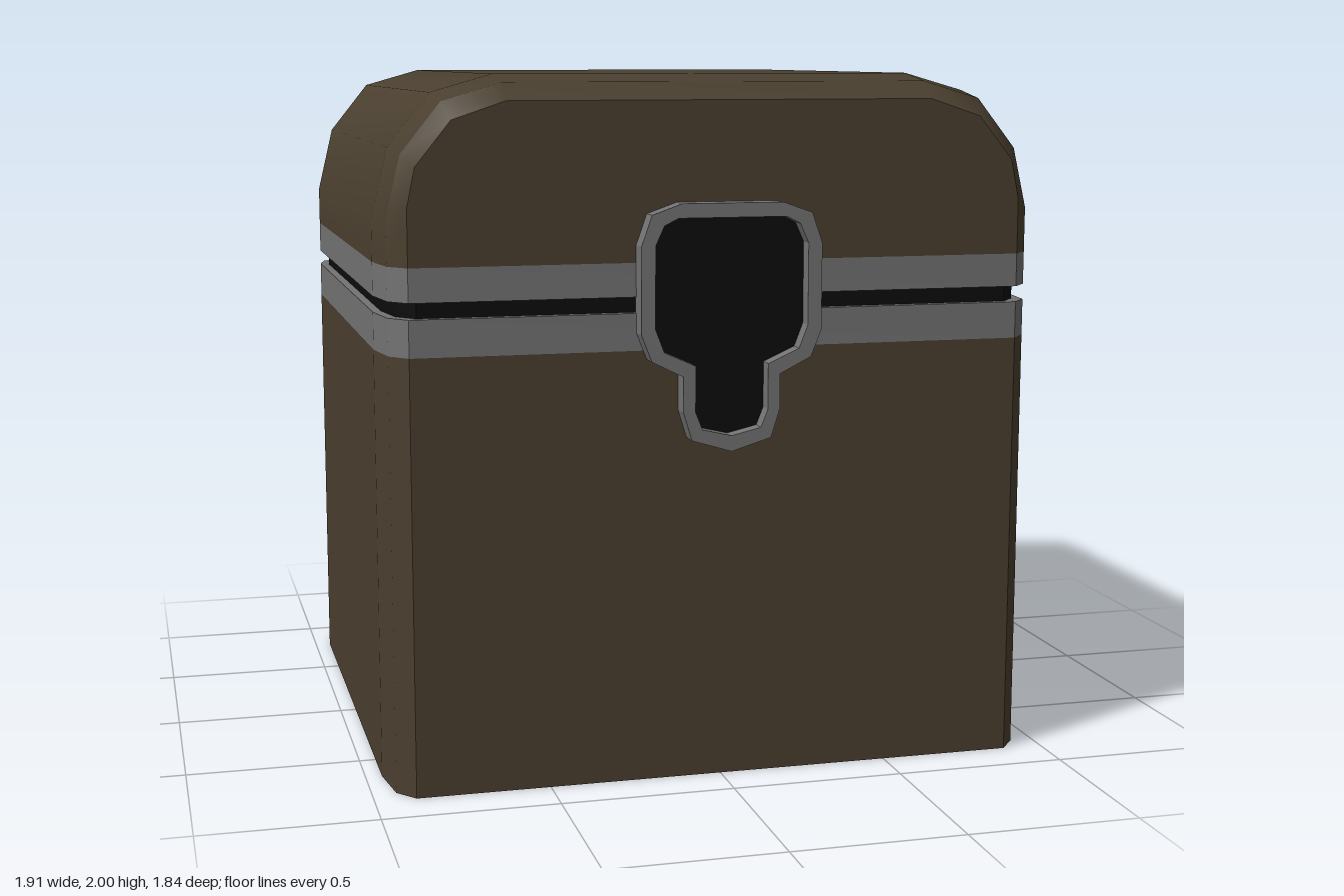
import * as THREE from 'three';
import { mergeGeometries } from 'three/addons/utils/BufferGeometryUtils.js';

const mat = (color) => new THREE.MeshStandardMaterial({ color });
const wood = mat(0x4a3f2f), metal = mat(0x737373), dark = mat(0x0c0c0c);

// Depth sections from front to back: [z, how far the outline is pulled in (0..1)]
const sections = [[0.86, 1], [0.8, 0.3], [0.65, 0], [-0.78, 0], [-0.88, 0.3], [-0.92, 1]];
const HALF = 0.953, INSET = 0.07;

function addMesh(parent, name, geometry, material) {
  const mesh = new THREE.Mesh(geometry, material);
  mesh.name = name;
  parent.add(mesh);
  return mesh;
}

// Closed shape from the +x half of an outline, mirrored to -x
function mirroredShape(half) {
  const pts = half.map(([x, y]) => new THREE.Vector2(x, y));
  const other = half.filter(([x]) => x > 0).reverse().map(([x, y]) => new THREE.Vector2(-x, y));
  return new THREE.Shape([...pts, ...other]);
}

// Horizontal slab with the chamfered plan of the chest, from y0 to y1
function slab(y0, y1, shrink = 0) {
  const half = sections.map(([z, k]) => [HALF - INSET * k - shrink, -(z - Math.sign(z) * shrink)]);
  const geo = new THREE.ExtrudeGeometry(mirroredShape(half), { depth: y1 - y0, bevelEnabled: false });
  return geo.rotateX(-Math.PI / 2).translate(0, y0, 0);
}

// Arched lid outline, pulled in by k; ordered from left bottom over the top
function archPoints(k) {
  const half = [
    [HALF - 0.07 * k, 1.485], [HALF - 0.07 * k, 1.6 + 0.045 * k], [0.905 - 0.045 * k, 1.8 - 0.045 * k],
    [0.785 - 0.025 * k, 1.95 - 0.07 * k], [0.61, 2 - 0.07 * k],
  ];
  return [...half.map(([x, y]) => [-x, y]), ...half.reverse()];
}

// Lid: strips smooth along the arch, crisp between sections, with flat end caps
function lidGeometry() {
  const parts = [];
  for (let i = 0; i < sections.length - 1; i++) {
    const pos = [], index = [];
    for (const [z, k] of [sections[i], sections[i + 1]])
      for (const [x, y] of archPoints(k)) pos.push(x, y, z);
    const n = pos.length / 6;
    for (let j = 0; j < n - 1; j++) index.push(j, j + 1, n + j, j + 1, n + j + 1, n + j);
    const strip = new THREE.BufferGeometry();
    strip.setAttribute('position', new THREE.Float32BufferAttribute(pos, 3));
    strip.setIndex(index);
    strip.computeVertexNormals();
    parts.push(strip);
  }
  const cap = new THREE.ShapeGeometry(new THREE.Shape(archPoints(1).map(([x, y]) => new THREE.Vector2(x, y))));
  cap.deleteAttribute('uv');
  parts.push(cap.clone().translate(0, 0, 0.86), cap.rotateY(Math.PI).translate(0, 0, -0.92));
  return mergeGeometries(parts);
}

export function createModel() {
  const chest = new THREE.Group();
  chest.name = 'chest';

  // Box, metal bands and the dark seam between them
  addMesh(chest, 'body', slab(0, 1.24), wood);
  addMesh(chest, 'lowerBand', slab(1.24, 1.345), metal);
  addMesh(chest, 'seam', slab(1.345, 1.39, 0.025), dark);
  addMesh(chest, 'upperBand', slab(1.39, 1.485), metal);
  addMesh(chest, 'lid', lidGeometry(), wood);

  // Lock: raised frame around a recessed keyhole-shaped plate
  const lock = new THREE.Group();
  lock.name = 'lock';
  lock.position.set(0.01, 0, 0.85);
  chest.add(lock);
  const outer = [[0, 0.955], [0.115, 0.99], [0.14, 1.07], [0.14, 1.17], [0.23, 1.215],
    [0.26, 1.29], [0.26, 1.535], [0.23, 1.62], [0.145, 1.65]];
  const inner = [[0, 1], [0.085, 1.02], [0.105, 1.07], [0.105, 1.2], [0.195, 1.24],
    [0.22, 1.305], [0.22, 1.535], [0.195, 1.59], [0.155, 1.61]];
  const frame = mirroredShape(outer);
  frame.holes.push(mirroredShape(inner));
  addMesh(lock, 'lockFrame', new THREE.ExtrudeGeometry(frame, { depth: 0.07, bevelEnabled: false }), metal);
  addMesh(lock, 'lockPlate', new THREE.ExtrudeGeometry(mirroredShape(inner), { depth: 0.025, bevelEnabled: false }), dark);

  return chest;
}
